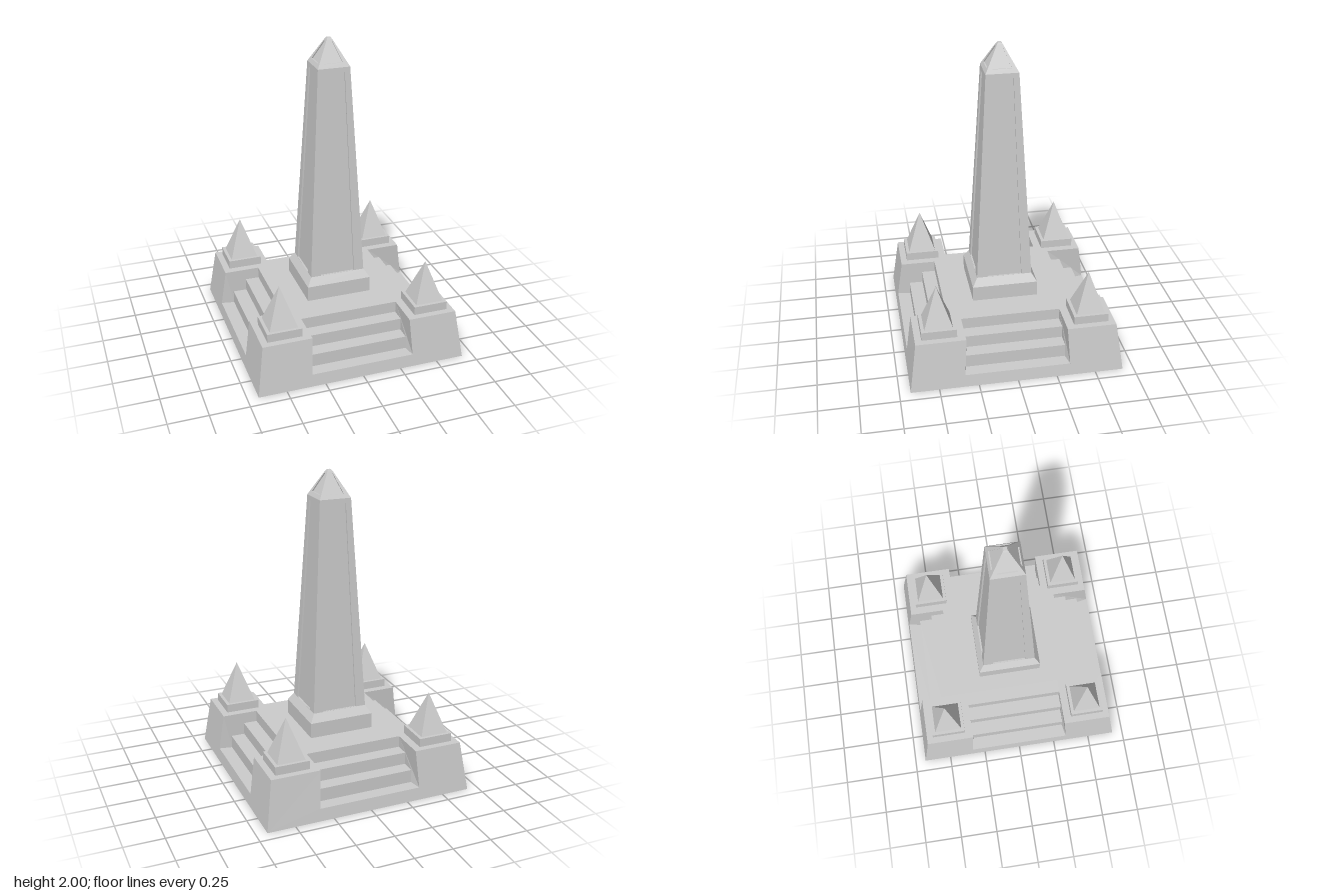
import * as THREE from 'three';

const stone = new THREE.MeshStandardMaterial({ color: 0xcccccc, flatShading: true });

function mesh(name, geometry) {
  const m = new THREE.Mesh(geometry, stone);
  m.name = name;
  return m;
}

// Builds flat faces from polygons (counter-clockwise, fanned from the first corner)
function faces(polys) {
  const pos = [];
  for (const p of polys) {
    for (let i = 1; i < p.length - 1; i++) pos.push(...p[0], ...p[i], ...p[i + 1]);
  }
  const g = new THREE.BufferGeometry();
  g.setAttribute('position', new THREE.Float32BufferAttribute(pos, 3));
  g.computeVertexNormals();
  return g;
}

// Mirrors a polygon across x = 0, keeping it facing outward
const mirror = (p) => p.map(([x, y, z]) => [-x, y, z]).reverse();

// Repeats one side around the vertical axis
function fourSides(name, geometry) {
  const group = new THREE.Group();
  group.name = name;
  for (let i = 0; i < 4; i++) {
    const side = mesh(name + 'Side', geometry);
    side.rotation.y = i * Math.PI / 2;
    group.add(side);
  }
  return group;
}

// Square block that tapers from half width h0 at y0 to h1 at y1
function taper(name, y0, h0, y1, h1) {
  const g = new THREE.CylinderGeometry(h1 * Math.SQRT2, h0 * Math.SQRT2, y1 - y0, 4);
  g.rotateY(Math.PI / 4).translate(0, (y0 + y1) / 2, 0);
  return mesh(name, g);
}

// One side of a sloped base with a stairway cut into it
function baseSide() {
  const H = 0.32, top = 0.635, bot = 0.68, w = 0.32, flare = 0.335, lip = 0.669;
  const levels = [0.08, 0.165, 0.245, H], depths = [0.585, 0.495, 0.405];
  const polys = [
    // sloped front below the stairs
    [[-bot, 0, bot], [bot, 0, bot], [flare, levels[0], lip], [-flare, levels[0], lip]],
    // top surface: corner, landing strip, middle
    [[w, H, top], [top, H, top], [top, H, w], [w, H, w]],
    [[-w, H, 0.405], [w, H, 0.405], [w, H, w], [-w, H, w]],
    [[-w, H, w], [w, H, w], [0, H, 0]],
    // underside
    [[0, 0, 0], [bot, 0, bot], [-bot, 0, bot]],
  ];
  // treads and risers
  depths.forEach((z, i) => {
    const y = levels[i], y2 = levels[i + 1];
    const front = i ? depths[i - 1] : lip, fw = i ? w : flare;
    polys.push([[-fw, y, front], [fw, y, front], [w, y, z], [-w, y, z]]);
    polys.push([[-w, y, z], [w, y, z], [w, y2, z], [-w, y2, z]]);
  });
  // sloped front and cheek wall on either side of the stairs
  const front = [[-bot, 0, bot], [-flare, levels[0], lip], [-w, H, top], [-top, H, top]];
  const cheek = [[-w, H, top], [-flare, levels[0], lip]];
  depths.forEach((z, i) => cheek.push([-w, levels[i], z], [-w, levels[i + 1], z]));
  polys.push(front, mirror(front), cheek, mirror(cheek));
  return faces(polys);
}

// One sloped side with a sunken trapezoid panel
function panelSide(y0, h0, y1, h1, py0, pw0, py1, pw1, depth) {
  const zAt = (y) => h0 + (h1 - h0) * (y - y0) / (y1 - y0);
  const outer = [[-h0, y0, h0], [h0, y0, h0], [h1, y1, h1], [-h1, y1, h1]];
  const rim = [[-pw0, py0], [pw0, py0], [pw1, py1], [-pw1, py1]].map(([x, y]) => [x, y, zAt(y)]);
  const sunk = rim.map(([x, y, z]) => [x, y, z - depth]);
  const polys = [sunk];
  for (let i = 0; i < 4; i++) {
    const j = (i + 1) % 4;
    polys.push([outer[i], outer[j], rim[j], rim[i]], [rim[i], rim[j], sunk[j], sunk[i]]);
  }
  return faces(polys);
}

export function createModel() {
  const model = new THREE.Group();
  model.name = 'obelisk';

  // Stepped base
  model.add(fourSides('steppedBase', baseSide()));

  // Plinth with bevelled top
  model.add(taper('plinth', 0.32, 0.213, 0.42, 0.213));
  model.add(taper('plinthBevel', 0.42, 0.213, 0.472, 0.18));

  // Shaft and pointed cap with sunken panels
  model.add(fourSides('shaft', panelSide(0.472, 0.18, 1.835, 0.103, 0.473, 0.114, 1.805, 0.068, 0.01)));
  model.add(fourSides('cap', panelSide(1.835, 0.103, 1.99, 0.018, 1.86, 0.06, 1.978, 0.014, 0.008)));
  model.add(taper('tip', 1.99, 0.018, 2, 0.011));

  // Corner pedestals with small pyramids
  for (const x of [-1, 1]) {
    for (const z of [-1, 1]) {
      const corner = new THREE.Group();
      corner.name = 'cornerPyramid';
      corner.add(taper('pedestal', 0.32, 0.111, 0.375, 0.111));
      corner.add(taper('pyramid', 0.375, 0.09, 0.63, 0));
      corner.position.set(x * 0.482, 0, z * 0.482);
      model.add(corner);
    }
  }
  return model;
}
